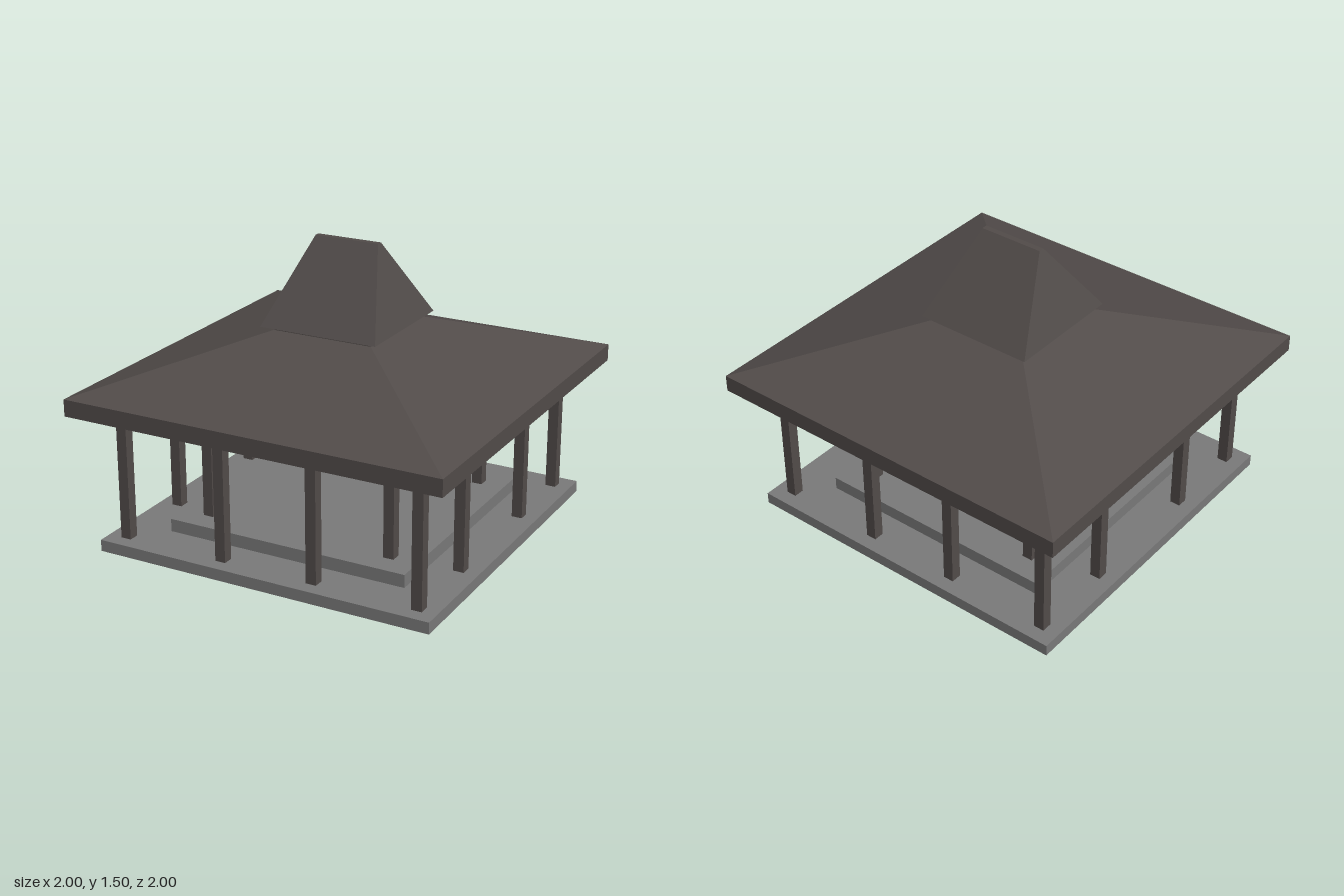
import * as THREE from 'three';

const stone = new THREE.MeshStandardMaterial({ color: 0x7a7a7a });
stone.name = 'stone grey';
const wood = new THREE.MeshStandardMaterial({ color: 0x524c4a });
wood.name = 'dark brown';

const POST = 0.055;

export function createModel() {
  const model = new THREE.Group();

  function add(name, geometry, material, x = 0, y = 0, z = 0) {
    const mesh = new THREE.Mesh(geometry, material);
    mesh.name = name;
    mesh.position.set(x, y, z);
    model.add(mesh);
  }

  // Square slab between two heights
  function slab(name, half, y0, y1, material) {
    add(name, new THREE.BoxGeometry(half * 2, y1 - y0, half * 2), material, 0, (y0 + y1) / 2, 0);
  }

  // Hipped block: a box whose top is narrowed to topX by topZ (half sizes)
  function hip(name, half, topX, topZ, y0, y1, material) {
    const g = new THREE.BoxGeometry(half * 2, y1 - y0, half * 2);
    const p = g.attributes.position;
    for (let i = 0; i < p.count; i++) {
      if (p.getY(i) > 0) {
        p.setX(i, Math.sign(p.getX(i)) * topX);
        p.setZ(i, Math.sign(p.getZ(i)) * topZ);
      }
    }
    g.computeVertexNormals();
    add(name, g, material, 0, (y0 + y1) / 2, 0);
  }

  // Plain square post
  function post(name, x, z, y0, y1) {
    add(name, new THREE.BoxGeometry(POST, y1 - y0, POST), wood, x, (y0 + y1) / 2, z);
  }

  // Square post whose top is cut down towards the back
  function cutPost(name, x, z, y0, cutStart, cutY) {
    const h = POST / 2, top = 0.72;
    const profile = new THREE.Shape([
      new THREE.Vector2(-h, y0), new THREE.Vector2(h, y0), new THREE.Vector2(h, top),
      new THREE.Vector2(cutStart, top), new THREE.Vector2(-h, cutY),
    ]);
    const g = new THREE.ExtrudeGeometry(profile, { depth: POST, bevelEnabled: false });
    g.translate(0, 0, -h);
    g.rotateY(-Math.PI / 2);
    add(name, g, wood, x, 0, z);
  }

  // Stepped floor
  slab('base', 0.9, 0, 0.06, stone);
  slab('platform', 0.65, 0.06, 0.127, stone);

  // Outer and inner posts
  for (const x of [-0.8, -0.25, 0.25, 0.8]) {
    cutPost('frontPost', x, 0.8, 0.06, 0.002, 0.67);
    post('backPost', x, -0.8, 0.06, 0.668);
  }
  for (const x of [-0.8, 0.8]) {
    for (const z of [-0.35, 0.35]) post('sidePost', x, z, 0.06, 0.668);
  }
  for (const x of [-0.505, 0.505]) {
    cutPost('innerFrontPost', x, 0.505, 0.127, 0.018, 0.652);
    post('innerBackPost', x, -0.505, 0.127, 0.652);
  }

  // Ceiling, eaves and the two roof tiers
  slab('ceiling', 0.935, 0.717, 0.73, stone);
  slab('eaves', 1, 0.73, 0.817, wood);
  hip('lowerRoof', 1, 0.27, 0.27, 0.817, 1.067, wood);
  slab('roofNeck', 0.264, 1.067, 1.09, wood);
  hip('upperRoof', 0.315, 0.172, 0.015, 1.09, 1.498, wood);

  return model;
}
